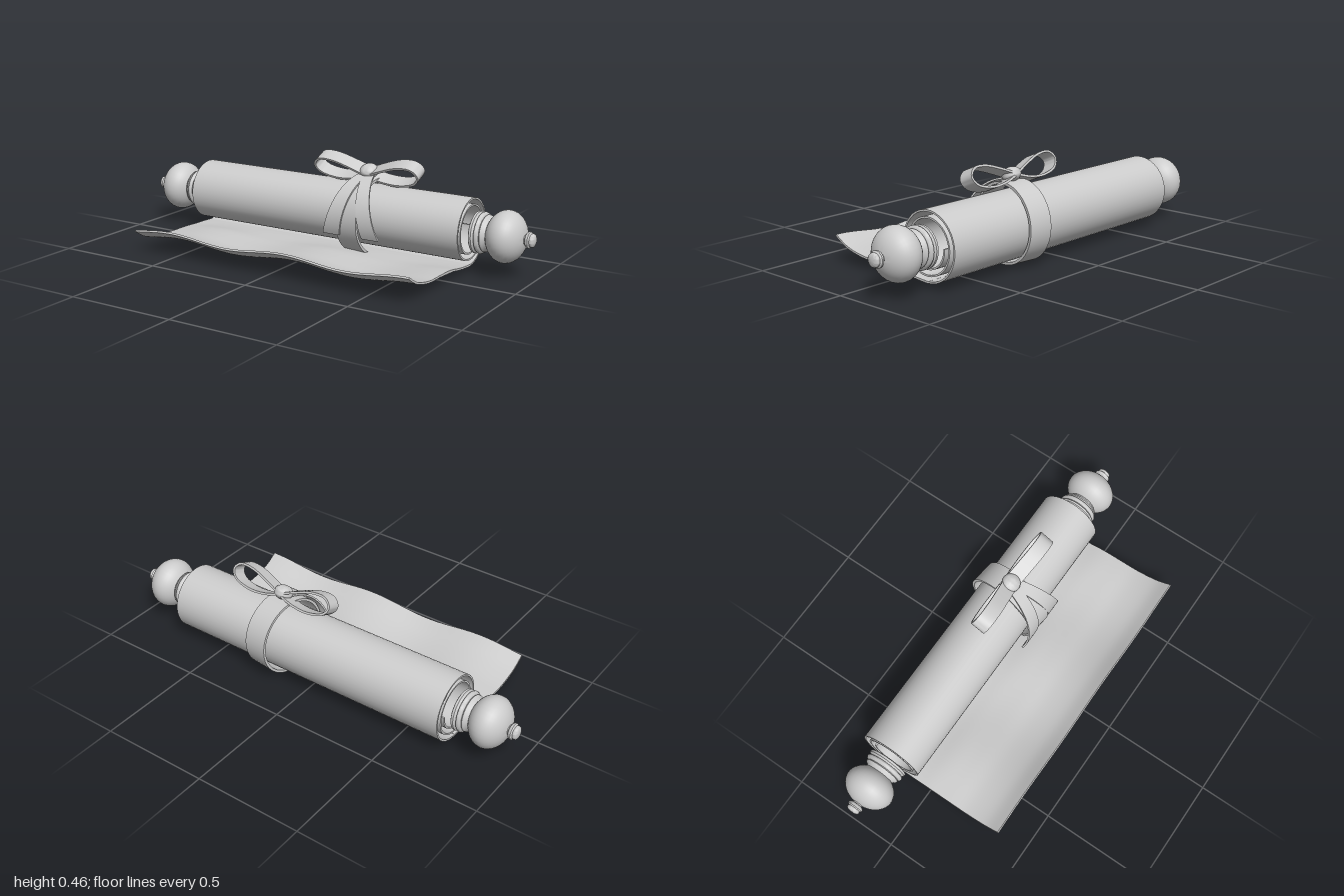
import * as THREE from 'three';
import { toCreasedNormals } from 'three/addons/utils/BufferGeometryUtils.js';

const AXIS_Y = 0.18, AXIS_Z = -0.19, HALF = 0.705, BOW_X = 0.2;

// Thickens an open 2D path and extrudes it by depth, centred on z
function strip(path, thickness, depth, steps = 1) {
  const left = [], right = [];
  path.forEach((p, i) => {
    const a = path[Math.max(i - 1, 0)], b = path[Math.min(i + 1, path.length - 1)];
    const t = new THREE.Vector2().subVectors(b, a).normalize().multiplyScalar(thickness / 2);
    left.push(new THREE.Vector2(p.x - t.y, p.y + t.x));
    right.unshift(new THREE.Vector2(p.x + t.y, p.y - t.x));
  });
  const shape = new THREE.Shape([...left, ...right]);
  const geo = new THREE.ExtrudeGeometry(shape, { depth, steps, bevelEnabled: false });
  return geo.translate(0, 0, -depth / 2);
}

const spline = (pts, n) => new THREE.SplineCurve(pts.map(([x, y]) => new THREE.Vector2(x, y))).getPoints(n);

// Moves every vertex by a rule
function deform(geo, rule) {
  const pos = geo.attributes.position, v = new THREE.Vector3();
  for (let i = 0; i < pos.count; i++) {
    rule(v.fromBufferAttribute(pos, i));
    pos.setXYZ(i, v.x, v.y, v.z);
  }
  return geo;
}

export function createModel() {
  const model = new THREE.Group();
  model.name = 'scroll';
  const grey = new THREE.MeshStandardMaterial({ color: 0xcccccc });
  grey.name = 'plain grey';

  const add = (parent, name, geo, crease = 0.6) => {
    const mesh = new THREE.Mesh(toCreasedNormals(geo, crease), grey);
    mesh.name = name;
    parent.add(mesh);
    return mesh;
  };

  // Rolled paper: a spiral running inward from the bottom
  const spiral = [];
  for (let i = 0; i <= 90; i++) {
    const a = (i / 90) * Math.PI * 4.5, r = 0.155 - 0.028 * a / (2 * Math.PI);
    spiral.push(new THREE.Vector2(-AXIS_Z + r * Math.sin(a), AXIS_Y - r * Math.cos(a)));
  }
  add(model, 'paperRoll', strip(spiral, 0.008, HALF * 2).rotateY(Math.PI / 2));

  // Unrolled sheet with gentle waves that fade out at the roll
  const sheetPath = spline([[-0.372, 0.106], [-0.3, 0.066], [-0.2, 0.043], [-0.1, 0.04],
    [0, 0.038], [0.08, 0.031], [0.19, 0.025]], 30);
  const sheet = strip(sheetPath, 0.009, HALF * 2, 48).rotateY(Math.PI / 2);
  deform(sheet, v => {
    v.y += 0.012 * Math.cos((v.x - 0.1) * Math.PI / 0.3) * THREE.MathUtils.smoothstep(v.z, -0.17, 0.05);
  });
  add(model, 'looseSheet', sheet);

  // Turned handles: collar, two rings, round knob and finial
  const profile = [[0, 0.73], [0.086, 0.73], [0.092, 0.734], [0.092, 0.744], [0.084, 0.748],
    [0.082, 0.752], [0.09, 0.756], [0.092, 0.763], [0.088, 0.77], [0.078, 0.774],
    [0.082, 0.779], [0.08, 0.787], [0.07, 0.792]];
  for (let i = 0; i <= 16; i++) {
    const a = THREE.MathUtils.lerp(0.62, Math.PI - 0.2, i / 16);
    profile.push([0.115 * Math.sin(a), 0.87 - 0.087 * Math.cos(a)]);
  }
  profile.push([0.022, 0.96], [0.03, 0.962], [0.036, 0.968], [0.036, 0.976], [0.028, 0.981],
    [0.03, 0.986], [0.028, 0.994], [0.018, 0.999], [0, 1]);
  const handlePoints = profile.map(([r, x]) => new THREE.Vector2(r, x));
  for (const side of [1, -1]) {
    const handle = add(model, side > 0 ? 'leftHandle' : 'rightHandle',
      new THREE.LatheGeometry(handlePoints, 32), 0.9);
    handle.rotation.z = -side * Math.PI / 2;
    handle.position.set(0, AXIS_Y, AXIS_Z);
  }

  // Ribbon band around the roll, slightly askew
  const ring = [[0.18, -0.057], [0.18, 0.057], [0.168, 0.057], [0.168, -0.057], [0.18, -0.057]];
  const bandGeo = new THREE.LatheGeometry(ring.map(([r, h]) => new THREE.Vector2(r, h)), 48);
  const band = add(model, 'ribbonBand', bandGeo.rotateZ(-Math.PI / 2));
  band.position.set(BOW_X, AXIS_Y, AXIS_Z);
  band.rotation.y = -0.12;

  // Ribbon tails, bent over the front of the roll and fanning outward
  for (const side of [1, -1]) {
    const tail = deform(new THREE.BoxGeometry(1, 1, 0.008, 2, 20, 1), v => {
      const t = 0.5 - v.y, a = THREE.MathUtils.lerp(0.1, 1.94, t);
      const r = THREE.MathUtils.lerp(0.192, 0.178, t) + v.z;
      const x = BOW_X + side * (0.01 + 0.09 * t) + v.x * (0.05 + 0.035 * t);
      v.set(x, AXIS_Y + r * Math.cos(a), AXIS_Z + r * Math.sin(a));
    });
    add(model, side > 0 ? 'leftTail' : 'rightTail', tail);
  }

  // Bow, leaning forward: two teardrop loops and a knot
  const bow = new THREE.Group();
  bow.name = 'bow';
  bow.position.set(BOW_X, 0.393, -0.178);
  bow.rotation.x = 0.41;
  model.add(bow);
  for (const side of [1, -1]) {
    const loop = spline([[0.01, -0.012], [0.08, 0.018], [0.16, 0.045], [0.23, 0.047], [0.262, 0.012],
      [0.235, -0.028], [0.16, -0.047], [0.08, -0.042], [0.01, -0.022]].map(([x, y]) => [side * x, y]), 40);
    add(bow, side > 0 ? 'leftLoop' : 'rightLoop', strip(loop, 0.01, 0.07));
  }
  const knot = add(bow, 'knot', new THREE.SphereGeometry(0.043, 24, 16));
  knot.scale.set(1, 0.75, 1);
  knot.position.y = -0.01;

  return model;
}
